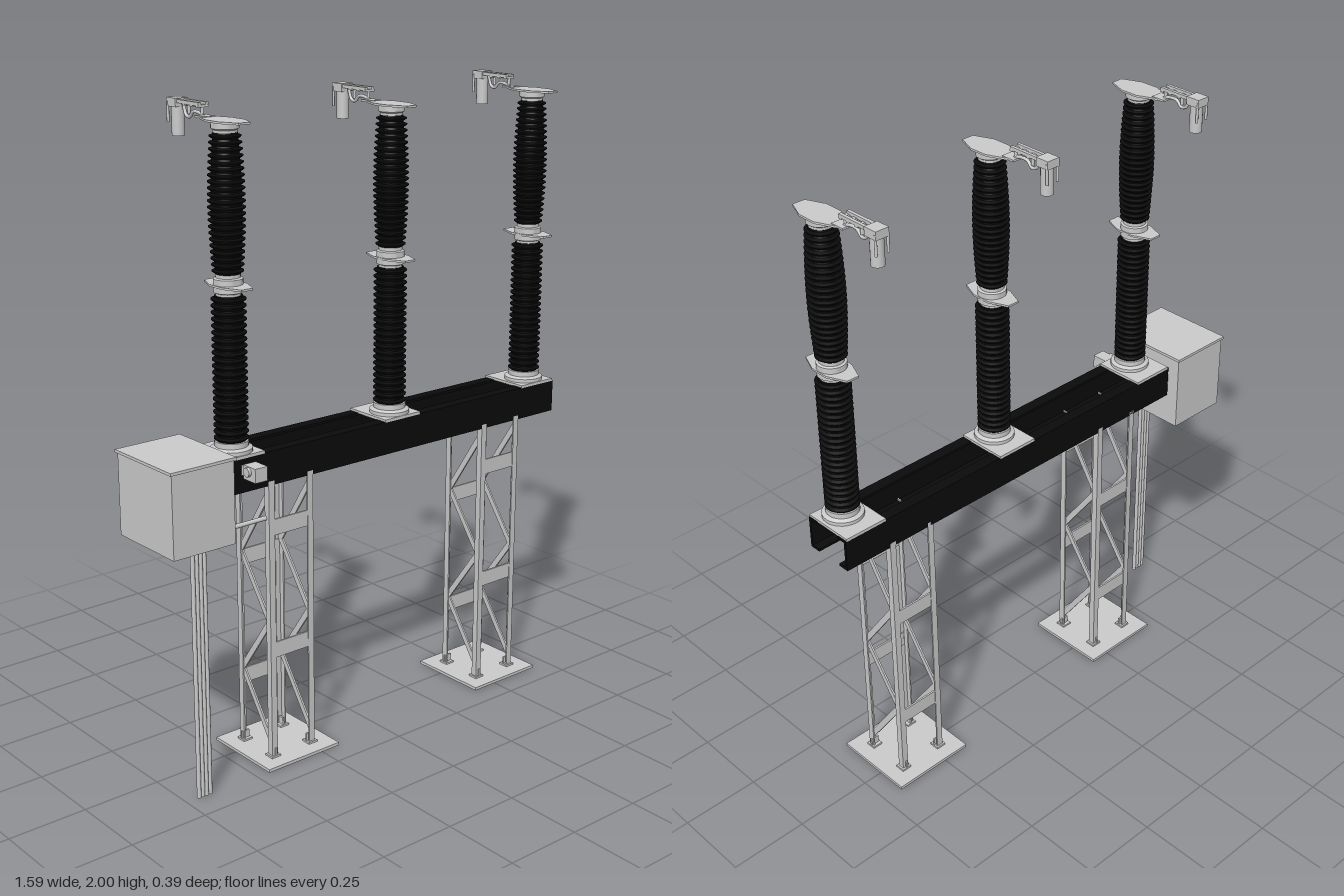
import * as THREE from 'three';
import { toCreasedNormals } from 'three/addons/utils/BufferGeometryUtils.js';

const grey = new THREE.MeshStandardMaterial({ color: 0xcccccc, side: THREE.DoubleSide });
const black = new THREE.MeshStandardMaterial({ color: 0x0b0b0b, side: THREE.DoubleSide });
const beamZ = 0.035;

function add(parent, name, geo, mat = grey) {
  const m = new THREE.Mesh(geo, mat);
  m.name = name;
  parent.add(m);
  return m;
}

// box given by its minimum and maximum corners
function box(parent, name, a, b, mat) {
  const g = new THREE.BoxGeometry(b[0] - a[0], b[1] - a[1], b[2] - a[2]);
  g.translate((a[0] + b[0]) / 2, (a[1] + b[1]) / 2, (a[2] + b[2]) / 2);
  return add(parent, name, g, mat);
}

function lathe(parent, name, pts, mat, seg = 28) {
  const g = new THREE.LatheGeometry(pts.map(p => new THREE.Vector2(p[0], p[1])), seg);
  return add(parent, name, toCreasedNormals(g, 0.6), mat);
}

function rod(parent, name, a, b, r, seg = 12) {
  const A = new THREE.Vector3(...a), B = new THREE.Vector3(...b);
  const m = add(parent, name, new THREE.CylinderGeometry(r, r, A.distanceTo(B), seg));
  m.position.copy(A).add(B).multiplyScalar(0.5);
  m.quaternion.setFromUnitVectors(new THREE.Vector3(0, 1, 0), B.sub(A).normalize());
  return m;
}

function polygon(pts) {
  return new THREE.Shape(pts.map(p => new THREE.Vector2(p[0], p[1])));
}

// stack of sheds on a core; bulge widens the middle
function insulator(parent, name, y0, y1, radius, bulge) {
  const n = 22, pitch = (y1 - y0) / n, pts = [[0, y0]];
  for (let i = 0; i < n; i++) {
    const r = radius + bulge * Math.sin(Math.PI * (i + 0.5) / n), y = y0 + i * pitch;
    pts.push([r - 0.01, y], [r, y + pitch * 0.4], [r, y + pitch * 0.55], [r - 0.01, y + pitch * 0.75]);
  }
  pts.push([radius - 0.01, y1], [0, y1]);
  lathe(parent, name, pts, black);
}

// lens-shaped flange plate lying flat, long in z
function flange(parent, name, y) {
  const outline = [[-0.02, -0.09], [0.02, -0.09], [0.045, -0.03], [0.045, 0.03],
    [0.02, 0.09], [-0.02, 0.09], [-0.045, 0.03], [-0.045, -0.03]];
  const g = new THREE.ExtrudeGeometry(polygon(outline), { depth: 0.006, bevelEnabled: false });
  g.rotateX(-Math.PI / 2).translate(0, y, 0);
  add(parent, name, g);
}

function terminal(parent) {
  const t = new THREE.Group();
  t.name = 'terminal';
  box(t, 'terminalTongue', [-0.02, 1.955, -0.115], [0.02, 1.961, -0.07]);
  // bent connecting strap
  const path = new THREE.CatmullRomCurve3([[1.96, -0.1], [1.967, -0.125], [1.966, -0.15],
    [1.95, -0.168], [1.955, -0.185], [1.985, -0.197]].map(p => new THREE.Vector3(0, p[0], p[1])));
  add(t, 'terminalStrap', new THREE.TubeGeometry(path, 20, 0.005, 8));
  // twin rails with cross links
  for (const s of [-1, 1]) box(t, 'terminalRail', [s * 0.013 - 0.005, 1.987, -0.215], [s * 0.013 + 0.005, 1.997, -0.1]);
  for (const z of [-0.105, -0.135, -0.17]) box(t, 'railLink', [-0.018, 1.983, z - 0.006], [0.018, 1.99, z + 0.006]);
  for (const z of [-0.105, -0.17]) rod(t, 'railPost', [0, 1.958, z], [0, 1.988, z], 0.005);
  // hanging clamp
  box(t, 'clampHead', [-0.022, 1.975, -0.25], [0.022, 2, -0.205]);
  rod(t, 'clampBarrel', [0, 1.893, -0.226], [0, 1.98, -0.226], 0.019, 16);
  for (const s of [-1, 1]) rod(t, 'clampBolt', [s * 0.02, 1.93, -0.246], [s * 0.02, 1.99, -0.246], 0.004);
  parent.add(t);
}

function pole(x) {
  const p = new THREE.Group();
  p.name = 'pole';
  p.position.set(x, 0, 0.054);
  box(p, 'polePlate', [-0.072, 0.998, -0.104], [0.072, 1.007, 0.064]);
  lathe(p, 'poleFoot', [[0, 1.007], [0.062, 1.007], [0.062, 1.018], [0.05, 1.024], [0.05, 1.04], [0, 1.04]]);
  insulator(p, 'lowerInsulator', 1.038, 1.468, 0.051, 0);
  lathe(p, 'middleCollar', [[0, 1.465], [0.036, 1.465], [0.036, 1.475], [0.043, 1.478], [0.043, 1.517],
    [0.036, 1.52], [0.036, 1.532], [0, 1.532]]);
  flange(p, 'middleFlange', 1.494);
  insulator(p, 'upperInsulator', 1.53, 1.925, 0.045, 0.009);
  lathe(p, 'topCap', [[0, 1.92], [0.034, 1.92], [0.034, 1.932], [0.04, 1.936], [0.04, 1.955], [0, 1.955]]);
  flange(p, 'topFlange', 1.953);
  terminal(p);
  return p;
}

function tower(x) {
  const t = new THREE.Group();
  t.name = 'supportTower';
  t.position.set(x, 0, beamZ);
  const h = 0.083, w = 0.021, k = 0.005;
  box(t, 'basePlate', [-0.137, 0, -0.137], [0.137, 0.01, 0.137]);
  // four angle-section legs with feet
  const angle = polygon([[0, 0], [-w, 0], [-w, -k], [-k, -k], [-k, -w], [0, -w]]);
  for (let i = 0; i < 4; i++) {
    const corner = new THREE.Group();
    corner.name = 'towerLeg';
    corner.rotation.y = i * Math.PI / 2;
    const g = new THREE.ExtrudeGeometry(angle, { depth: 0.9, bevelEnabled: false });
    g.rotateX(-Math.PI / 2).translate(h, 0.008, -h);
    add(corner, 'legAngle', g);
    box(corner, 'legFoot', [h - 0.027, 0.01, -h - 0.006], [h + 0.006, 0.016, -h + 0.027]);
    box(corner, 'legGusset', [h - 0.016, 0.01, -h - 0.005], [h - 0.01, 0.04, -h + 0.024]);
    t.add(corner);
  }
  // flat straps, alternating between front and back
  [0.76, 0.62, 0.365, 0.225].forEach((y, i) => {
    const z = i % 2 ? -h + k : h - k;
    box(t, 'crossStrap', [-h + 0.008, y - 0.025, z - 0.003], [h - 0.008, y + 0.025, z + 0.003]);
  });
  // zigzag bracing on both sides
  const nodes = [[0.06, 0.07], [0.26, -0.07], [0.455, 0.07], [0.65, -0.07], [0.865, 0.07]];
  for (const s of [-1, 1]) for (let i = 0; i < 4; i++) {
    const [y0, z0] = nodes[i], [y1, z1] = nodes[i + 1];
    const m = add(t, 'diagonalBrace', new THREE.BoxGeometry(0.006, Math.hypot(y1 - y0, z1 - z0) + 0.015, 0.019));
    m.position.set(s * (h - k - 0.002), (y0 + y1) / 2, (z0 + z1) / 2);
    m.rotation.x = Math.atan2(z1 - z0, y1 - y0);
  }
  return t;
}

export function createModel() {
  const model = new THREE.Group();
  model.name = 'circuitBreaker';

  // beam of two channels facing each other
  for (const s of [-1, 1]) {
    const c = [[0.083, 0.895], [0.083, 1], [0.046, 1], [0.046, 0.992], [0.075, 0.992],
      [0.075, 0.903], [0.046, 0.903], [0.046, 0.895]].map(p => [-s * p[0], p[1]]);
    const g = new THREE.ExtrudeGeometry(polygon(c), { depth: 1.355, bevelEnabled: false });
    g.rotateY(Math.PI / 2).translate(-0.565, 0, beamZ);
    add(model, 'beamChannel', g, black);
  }

  for (const x of [-0.487, 0.121, 0.715]) model.add(pole(x));
  for (const x of [-0.32, 0.548]) model.add(tower(x));

  // control cabinet with lid and conduits to the ground
  box(model, 'cabinet', [-0.79, 0.78, -0.08], [-0.578, 1.033, 0.19]);
  box(model, 'cabinetLid', [-0.796, 1.031, -0.085], [-0.573, 1.04, 0.195]);
  for (let i = 0; i < 4; i++) {
    const x = -0.705 + i * 0.0133;
    rod(model, 'conduit', [x, 0, 0.156], [x, 0.785, 0.156], 0.0066);
  }
  rod(model, 'cabinetLink', [-0.585, 0.79, 0.1], [-0.39, 0.79, 0.1], 0.007);

  // drive unit on the front of the beam
  const d = new THREE.Group();
  d.name = 'driveUnit';
  box(d, 'driveBody', [-0.506, 0.945, 0.135], [-0.462, 0.988, 0.192]);
  box(d, 'driveBracket', [-0.5, 0.95, 0.115], [-0.465, 0.98, 0.14]);
  rod(d, 'driveShaft', [-0.47, 0.963, 0.15], [-0.443, 0.963, 0.15], 0.012);
  rod(d, 'driveKnob', [-0.515, 0.972, 0.16], [-0.5, 0.972, 0.16], 0.014);
  model.add(d);

  return model;
}
